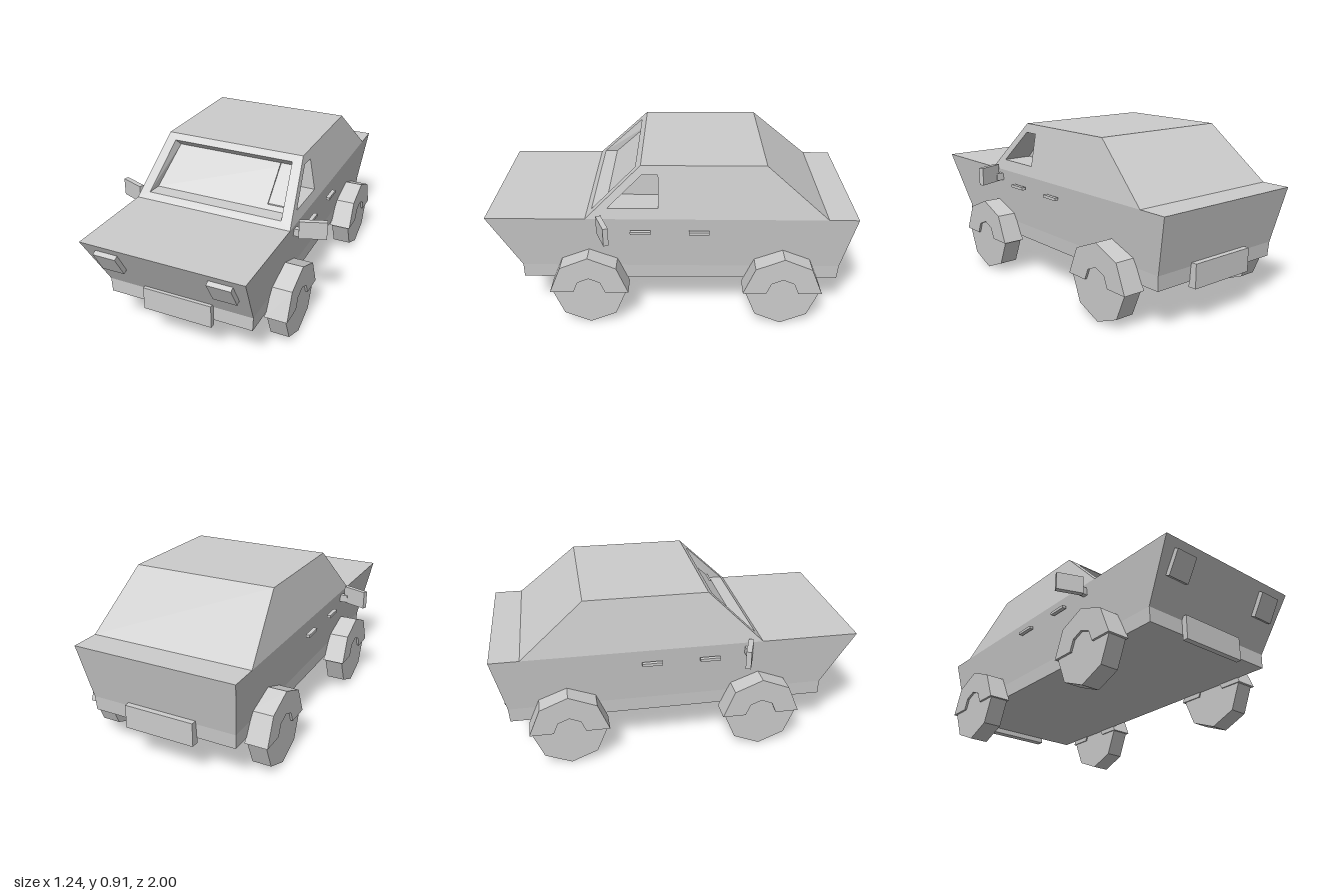
import * as THREE from 'three';

const grey = new THREE.MeshStandardMaterial({ color: 0xcccccc, flatShading: true });

function part(name, geometry, parent) {
  const mesh = new THREE.Mesh(geometry, grey);
  mesh.name = name;
  parent.add(mesh);
  return mesh;
}

// Box given by its limits on each axis
function box(name, [x0, x1], [y0, y1], [z0, z1], parent) {
  const mesh = part(name, new THREE.BoxGeometry(x1 - x0, y1 - y0, z1 - z0), parent);
  mesh.position.set((x0 + x1) / 2, (y0 + y1) / 2, (z0 + z1) / 2);
  return mesh;
}

// Joins equal-length rings of points and caps the last one (and the first on request)
function loft(rings, capStart = false) {
  const out = [];
  const tri = (...points) => points.forEach((p) => out.push(...p));
  const fan = (r) => {
    for (let i = 1; i < r.length - 1; i++) tri(r[0], r[i], r[i + 1]);
  };
  for (let k = 0; k < rings.length - 1; k++) {
    const a = rings[k], b = rings[k + 1];
    for (let i = 0; i < a.length; i++) {
      const j = (i + 1) % a.length;
      tri(a[i], a[j], b[i]);
      tri(a[j], b[j], b[i]);
    }
  }
  fan(rings.at(-1));
  if (capStart) fan([...rings[0]].reverse());
  const g = new THREE.BufferGeometry();
  g.setAttribute('position', new THREE.Float32BufferAttribute(out, 3));
  g.computeVertexNormals();
  return g;
}

// Flat panel with a hole, placed in space by map(u, v)
function panel(outline, hole, map) {
  const toPoints = (list) => list.map(([u, v]) => new THREE.Vector2(u, v));
  const shape = new THREE.Shape(toPoints(outline));
  shape.holes.push(new THREE.Path(toPoints(hole)));
  const g = new THREE.ShapeGeometry(shape);
  const p = g.attributes.position;
  for (let i = 0; i < p.count; i++) p.setXYZ(i, ...map(p.getX(i), p.getY(i)));
  g.computeVertexNormals();
  return g;
}

function buildBody(car) {
  const ring = (y, w, front, back) => [[w, y, front], [w, y, back], [-w, y, back], [-w, y, front]];
  part('body', loft([
    ring(0.23, 0.415, 0.825, -0.925),
    ring(0.31, 0.419, 0.825, -0.93),
    ring(0.62, 0.457, 0.997, -1),
  ], true), car);
  box('frontPlate', [-0.198, 0.198], [0.2, 0.33], [0.825, 0.855], car);
  box('rearPlate', [-0.198, 0.198], [0.2, 0.33], [-0.965, -0.92], car);
}

function buildCabin(car) {
  const cabin = new THREE.Group();
  cabin.name = 'cabin';
  car.add(cabin);
  const y0 = 0.62, y1 = 0.91, w0 = 0.457, w1 = 0.405;
  const f0 = 0.46, f1 = 0.16, b0 = -0.84, b1 = -0.5;
  const rise = (y) => (y - y0) / (y1 - y0);
  const sideX = (y) => w0 + (w1 - w0) * rise(y);
  const frontZ = (y) => f0 + (f1 - f0) * rise(y);

  // Plain panels
  part('roof', loft([[[w1, y1, f1], [w1, y1, b1], [-w1, y1, b1], [-w1, y1, f1]]]), cabin);
  part('rearSlope', loft([[[w0, y0, b0], [-w0, y0, b0], [-w1, y1, b1], [w1, y1, b1]]]), cabin);
  part('rightSide', loft([[[-w0, y0, b0], [-w0, y0, f0], [-w1, y1, f1], [-w1, y1, b1]]]), cabin);

  // Windscreen frame with its sunken pane
  const screen = [[-0.395, 0.65], [0.395, 0.65], [0.355, 0.88], [-0.355, 0.88]];
  const onFront = (x, y) => [x, y, frontZ(y)];
  part('windscreenFrame', panel([[-w0, y0], [w0, y0], [w1, y1], [-w1, y1]], screen, onFront), cabin);
  part('windscreen', loft([
    screen.map(([x, y]) => onFront(x, y)),
    [[-0.385, 0.655, 0.355], [0.385, 0.655, 0.355], [0.342, 0.845, 0.157], [-0.342, 0.845, 0.157]],
  ]), cabin);

  // Left side with a deep window pocket; u runs backwards along z
  const pane = [[-0.34, 0.68], [-0.07, 0.68], [-0.07, 0.86], [-0.155, 0.86]];
  const onSide = (u, y) => [sideX(y), y, -u];
  part('leftSide', panel([[-f0, y0], [-b0, y0], [-b1, y1], [-f1, y1]], pane, onSide), cabin);
  part('sideWindow', loft([
    pane.map(([u, y]) => onSide(u, y)),
    pane.map(([u, y]) => [0.28, y, -u]),
  ]), cabin);
}

// Half-octagon arch, extruded outwards along x
function archGeometry(outer, inner, depth) {
  const arc = (r) => Array.from({ length: 5 }, (_, i) =>
    new THREE.Vector2(r * Math.cos(i * Math.PI / 4), r * Math.sin(i * Math.PI / 4)));
  const shape = new THREE.Shape([...arc(outer), ...arc(inner).reverse()]);
  return new THREE.ExtrudeGeometry(shape, { depth, bevelEnabled: false }).rotateY(Math.PI / 2);
}

function buildSide(s, car) {
  const label = s > 0 ? 'left' : 'right';
  const side = new THREE.Group();
  side.name = label + 'Fittings';
  car.add(side);
  const span = (a, b) => (s > 0 ? [a, b] : [-b, -a]);

  // Wheels under arched mudguards
  for (const [end, z] of [['Front', 0.45], ['Rear', -0.61]]) {
    const tyre = new THREE.CylinderGeometry(0.203, 0.203, 0.105, 8).rotateZ(Math.PI / 2);
    part(label + end + 'Wheel', tyre, side).position.set(s * 0.47, 0.203, z);
    const guard = part(label + end + 'Mudguard', archGeometry(0.216, 0.087, 0.125), side);
    guard.position.set(s > 0 ? 0.41 : -0.535, 0.204, z);
  }

  // Door handles
  for (const z of [0.165, -0.15]) {
    box(label + 'Handle', span(0.463, 0.485), [0.54, 0.556], [z - 0.055, z + 0.055], side);
  }

  // Wing mirror on a short stalk
  box(label + 'MirrorStalk', span(0.44, 0.495), [0.555, 0.597], [0.36, 0.39], side);
  const mirror = part(label + 'Mirror', new THREE.BoxGeometry(0.148, 0.1, 0.028), side);
  mirror.position.set(s * 0.547, 0.6, 0.36);
  mirror.rotation.y = s * 0.36;

  // Headlight, tilted with the nose
  const light = part(label + 'Headlight', new THREE.BoxGeometry(0.13, 0.138, 0.03), side);
  light.position.set(s * 0.317, 0.512, 0.95);
  light.rotation.x = Math.atan2(0.172, 0.31);
}

export function createModel() {
  const car = new THREE.Group();
  car.name = 'car';
  buildBody(car);
  buildCabin(car);
  for (const s of [1, -1]) buildSide(s, car);
  return car;
}
